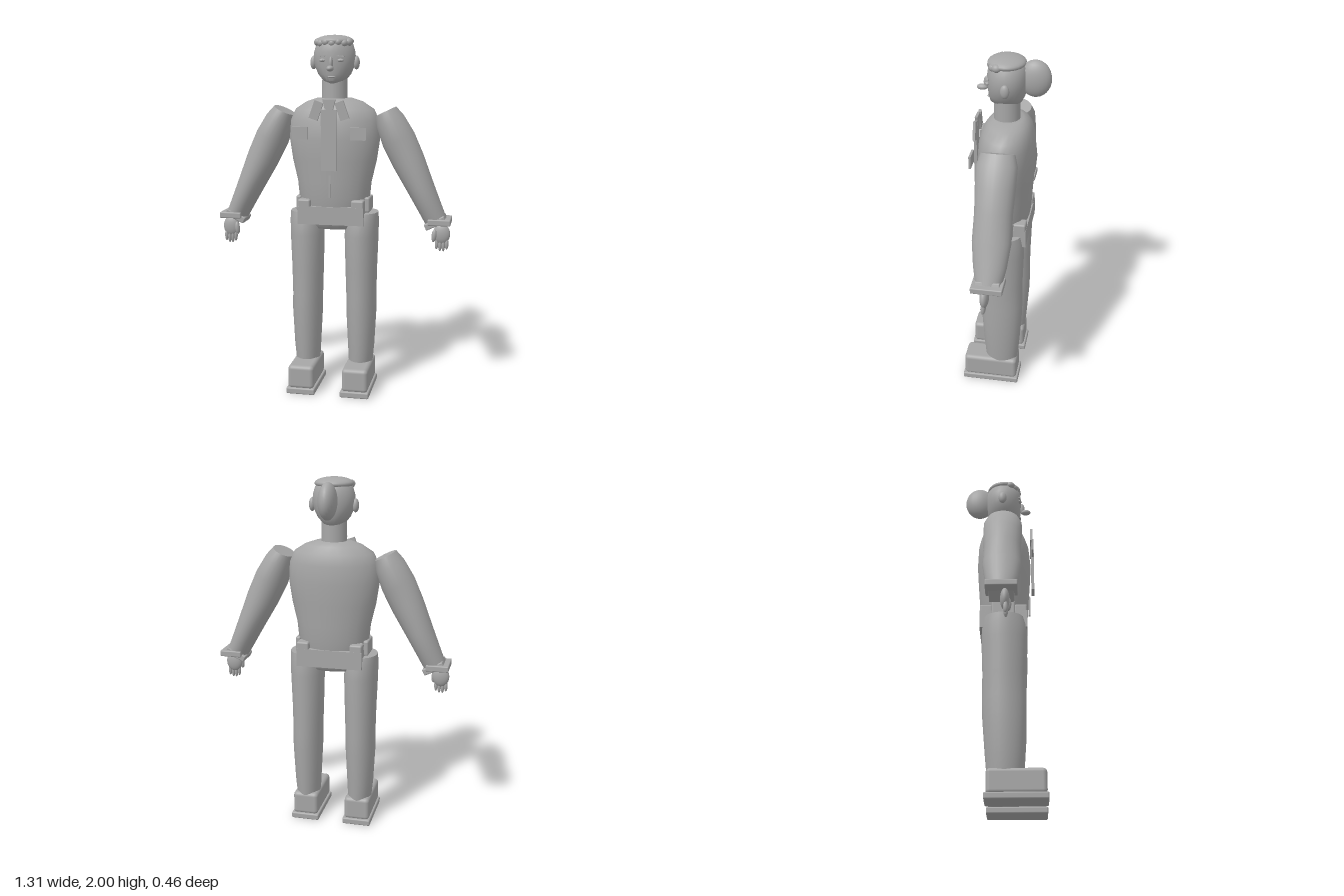
import * as THREE from 'three';
import { toCreasedNormals } from 'three/addons/utils/BufferGeometryUtils.js';
import { RoundedBoxGeometry } from 'three/addons/geometries/RoundedBoxGeometry.js';

const clay = new THREE.MeshStandardMaterial({ color: 0xa6a6a6 });
clay.name = 'clay grey';

function add(parent, name, geometry, x = 0, y = 0, z = 0, rz = 0, rx = 0) {
  const mesh = new THREE.Mesh(geometry, clay);
  mesh.name = name;
  mesh.position.set(x, y, z);
  mesh.rotation.set(rx, 0, rz);
  parent.add(mesh);
  return mesh;
}

const box = (w, h, d) => new THREE.BoxGeometry(w, h, d);
const rbox = (w, h, d, r) => new RoundedBoxGeometry(w, h, d, 3, r);
const ball = (rx, ry, rz) => new THREE.SphereGeometry(1, 24, 16).scale(rx, ry, rz);

// Skin elliptical rings [x, y, z, rx, rz], listed bottom to top, and cap both ends
function loft(rings, n = 24) {
  const pos = [], index = [];
  for (const [x, y, z, rx, rz] of rings) {
    for (let i = 0; i < n; i++) {
      const a = (i / n) * Math.PI * 2;
      pos.push(x + rx * Math.sin(a), y, z + rz * Math.cos(a));
    }
  }
  for (let r = 0; r < rings.length - 1; r++) {
    for (let i = 0; i < n; i++) {
      const a = r * n + i, b = r * n + (i + 1) % n;
      index.push(a, b, b + n, a, b + n, a + n);
    }
  }
  const last = (rings.length - 1) * n;
  for (let i = 1; i < n - 1; i++) {
    index.push(0, i + 1, i, last, last + i, last + i + 1);
  }
  const g = new THREE.BufferGeometry();
  g.setAttribute('position', new THREE.Float32BufferAttribute(pos, 3));
  g.setIndex(index);
  return toCreasedNormals(g, 0.7);
}

function plate(points, depth) {
  const shape = new THREE.Shape(points.map(([x, y]) => new THREE.Vector2(x, y)));
  return new THREE.ExtrudeGeometry(shape, { depth, bevelEnabled: false });
}

function makeHead() {
  const head = new THREE.Group();
  head.name = 'head';
  add(head, 'skull', loft([
    [0, 1.74, 0.01, 0.03, 0.06], [0, 1.755, 0.005, 0.06, 0.083], [0, 1.79, 0, 0.09, 0.096],
    [0, 1.83, -0.002, 0.108, 0.102], [0, 1.87, -0.003, 0.117, 0.106], [0, 1.91, -0.003, 0.114, 0.105],
    [0, 1.95, -0.002, 0.102, 0.098], [0, 1.975, 0, 0.085, 0.082], [0, 1.99, 0, 0.05, 0.05],
  ]));
  add(head, 'neck', new THREE.CylinderGeometry(0.069, 0.071, 0.13, 24), 0, 1.7, 0);
  add(head, 'hairCap', ball(0.106, 0.034, 0.1), 0, 1.968, 0);
  add(head, 'hairBun', ball(0.05, 0.1, 0.085), 0, 1.887, -0.147);
  // Fringe curls round the forehead
  for (let i = -3; i <= 3; i++) {
    const a = i * 0.34;
    add(head, 'fringeCurl', ball(0.023, 0.022, 0.026),
      Math.sin(a) * 0.098, 1.957 + (i % 2 ? 0.005 : 0), Math.cos(a) * 0.076);
  }
  // Face
  add(head, 'noseBridge', ball(0.011, 0.035, 0.018), 0, 1.85, 0.105);
  add(head, 'noseTip', ball(0.019, 0.016, 0.029), 0, 1.822, 0.13);
  add(head, 'mouth', ball(0.022, 0.006, 0.01), 0, 1.777, 0.092);
  for (const s of [-1, 1]) {
    add(head, 'eye', ball(0.018, 0.009, 0.01), s * 0.05, 1.865, 0.093);
    add(head, 'pupil', ball(0.006, 0.006, 0.005), s * 0.05, 1.865, 0.102);
    add(head, 'eyebrow', box(0.042, 0.006, 0.012), s * 0.05, 1.888, 0.093, s * -0.12);
    add(head, 'ear', ball(0.018, 0.037, 0.024), s * 0.12, 1.853, -0.007);
  }
  return head;
}

function makeTorso() {
  const torso = new THREE.Group();
  torso.name = 'torso';
  add(torso, 'shirt', loft([
    [0, 1.06, 0, 0.185, 0.125], [0, 1.12, 0, 0.202, 0.135], [0, 1.2, 0, 0.21, 0.14],
    [0, 1.32, 0, 0.238, 0.148], [0, 1.44, 0, 0.256, 0.155], [0, 1.54, -0.002, 0.25, 0.148],
    [0, 1.6, -0.005, 0.222, 0.132], [0, 1.64, -0.008, 0.16, 0.108], [0, 1.66, -0.008, 0.1, 0.08],
  ]));
  add(torso, 'tie', box(0.084, 0.33, 0.016), 0, 1.44, 0.166);
  add(torso, 'tieKnot', plate([[-0.022, 1.605], [0.022, 1.605], [0.036, 1.66], [-0.036, 1.66]], 0.014), 0, 0, 0.153);
  add(torso, 'buttonPlacket', box(0.011, 0.125, 0.012), 0, 1.185, 0.144);
  for (const s of [-1, 1]) {
    add(torso, 'collarFlap', box(0.05, 0.1, 0.014), s * 0.071, 1.6, 0.16, s * 0.33);
    add(torso, 'chestPocket', box(0.086, 0.068, 0.012), s * 0.16, 1.477, 0.165);
  }
  return torso;
}

function makeHips() {
  const hips = new THREE.Group();
  hips.name = 'hips';
  add(hips, 'belt', box(0.37, 0.1, 0.264), 0, 1.018, 0);
  add(hips, 'seat', loft([
    [0, 0.935, 0, 0.14, 0.085], [0, 0.97, 0, 0.17, 0.12], [0, 1.05, 0, 0.185, 0.128],
  ]));
  for (const s of [-1, 1]) {
    for (const f of [-1, 1]) {
      add(hips, 'beltPouch', rbox(0.07, 0.09, 0.07, 0.01), s * 0.15, 1.062, f * 0.096);
    }
    add(hips, 'sidePouch', rbox(0.03, 0.085, 0.13, 0.01), s * 0.194, 1.075, 0);
  }
  return hips;
}

function makeLeg(s) {
  const leg = new THREE.Group();
  leg.name = s > 0 ? 'leftLeg' : 'rightLeg';
  const rings = [
    [0.155, 0.15, 0.005, 0.068, 0.093], [0.157, 0.25, 0.005, 0.075, 0.102], [0.157, 0.45, 0.004, 0.085, 0.116],
    [0.156, 0.55, 0.003, 0.085, 0.118], [0.155, 0.7, 0.004, 0.089, 0.118], [0.156, 0.9, 0.005, 0.095, 0.126],
    [0.16, 0.98, 0.004, 0.092, 0.122], [0.165, 1.03, 0.002, 0.084, 0.108],
  ];
  add(leg, 'trouserLeg', loft(rings.map(([x, ...r]) => [s * x, ...r])));
  add(leg, 'shoeSole', rbox(0.163, 0.036, 0.33, 0.008), s * 0.154, 0.022, 0.065);
  add(leg, 'shoeUpper', rbox(0.147, 0.135, 0.312, 0.022), s * 0.154, 0.1, 0.066);
  return leg;
}

function makeArm(s) {
  const arm = new THREE.Group();
  arm.name = s > 0 ? 'leftArm' : 'rightArm';
  // Sleeve hangs from the shoulder, then swings outward
  add(arm, 'sleeve', loft([
    [0, -0.67, 0, 0.06, 0.07], [0, -0.58, 0, 0.066, 0.088], [0, -0.45, 0, 0.076, 0.103],
    [0, -0.3, 0, 0.09, 0.1], [0, -0.17, 0, 0.094, 0.106], [0, -0.06, 0, 0.081, 0.107],
    [0, 0, 0, 0.062, 0.09],
  ]), s * 0.285, 1.59, 0, s * 0.447);
  add(arm, 'cuff', rbox(0.125, 0.034, 0.166, 0.006), s * 0.594, 0.992, 0);
  add(arm, 'cuffInner', rbox(0.12, 0.036, 0.13, 0.006), s * 0.571, 0.985, 0, s * 0.447);
  // Hand
  add(arm, 'palm', ball(0.047, 0.058, 0.024), s * 0.606, 0.92, 0.018);
  add(arm, 'thumb', ball(0.014, 0.036, 0.015), s * 0.566, 0.912, 0.035, s * -0.1);
  for (let i = 0; i < 4; i++) {
    const long = i === 1 || i === 2;
    add(arm, 'finger', ball(0.01, long ? 0.036 : 0.032, 0.012),
      s * (0.58 + i * 0.0185), long ? 0.859 : 0.865, 0.022);
  }
  return arm;
}

export function createModel() {
  const model = new THREE.Group();
  model.name = 'uniformedFigure';
  model.add(makeHead(), makeTorso(), makeHips());
  for (const s of [-1, 1]) model.add(makeLeg(s), makeArm(s));
  return model;
}
